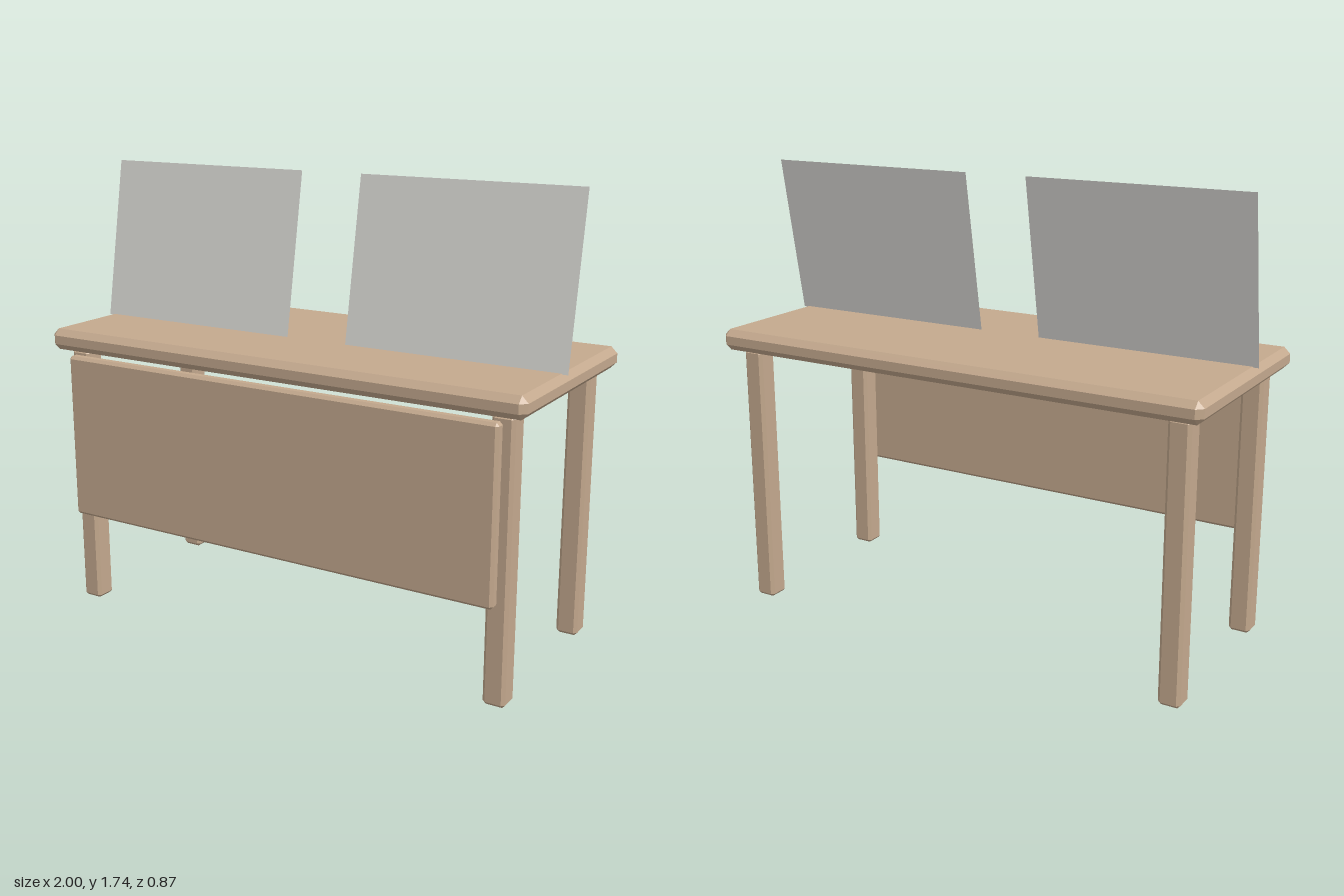
import * as THREE from 'three';
import { ConvexGeometry } from 'three/addons/geometries/ConvexGeometry.js';

// Box with every edge and corner cut at 45 degrees
function chamferBox(w, h, d, c) {
  const points = [];
  for (const sx of [-1, 1]) for (const sy of [-1, 1]) for (const sz of [-1, 1]) {
    const x = w / 2, y = h / 2, z = d / 2;
    points.push(
      new THREE.Vector3(sx * x, sy * (y - c), sz * (z - c)),
      new THREE.Vector3(sx * (x - c), sy * y, sz * (z - c)),
      new THREE.Vector3(sx * (x - c), sy * (y - c), sz * z)
    );
  }
  return new ConvexGeometry(points);
}

export function createModel() {
  const model = new THREE.Group();
  model.name = 'desk';

  const wood = new THREE.MeshStandardMaterial({ color: 0xc4a98e });
  wood.name = 'light wood';
  const screenGrey = new THREE.MeshStandardMaterial({ color: 0xd8d7d3, side: THREE.DoubleSide });
  screenGrey.name = 'pale grey';

  const add = (name, geometry, material, x, y, z) => {
    const mesh = new THREE.Mesh(geometry, material);
    mesh.name = name;
    mesh.position.set(x, y, z);
    model.add(mesh);
    return mesh;
  };

  // Table top
  add('tableTop', chamferBox(2, 0.082, 0.872, 0.024), wood, 0, 1.085, 0);

  // Four legs
  const leg = chamferBox(0.085, 1.042, 0.085, 0.012);
  for (const [side, sx] of [['Left', 1], ['Right', -1]]) {
    add('front' + side + 'Leg', leg, wood, sx * 0.9, 0.521, 0.339);
    add('back' + side + 'Leg', leg, wood, sx * 0.9, 0.521, -0.336);
  }

  // Modesty panel in front of the legs
  add('modestyPanel', chamferBox(1.82, 0.648, 0.046, 0.011), wood, 0, 0.704, 0.415);

  // Two flat screens leaning back
  const rise = 0.62, lean = 0.11;
  const screen = new THREE.PlaneGeometry(0.873, Math.hypot(rise, lean));
  for (const [name, sx] of [['leftScreen', 1], ['rightScreen', -1]]) {
    const mesh = add(name, screen, screenGrey, sx * 0.5635, 1.123 + rise / 2, 0.023);
    mesh.rotation.x = -Math.atan2(lean, rise);
  }

  return model;
}
